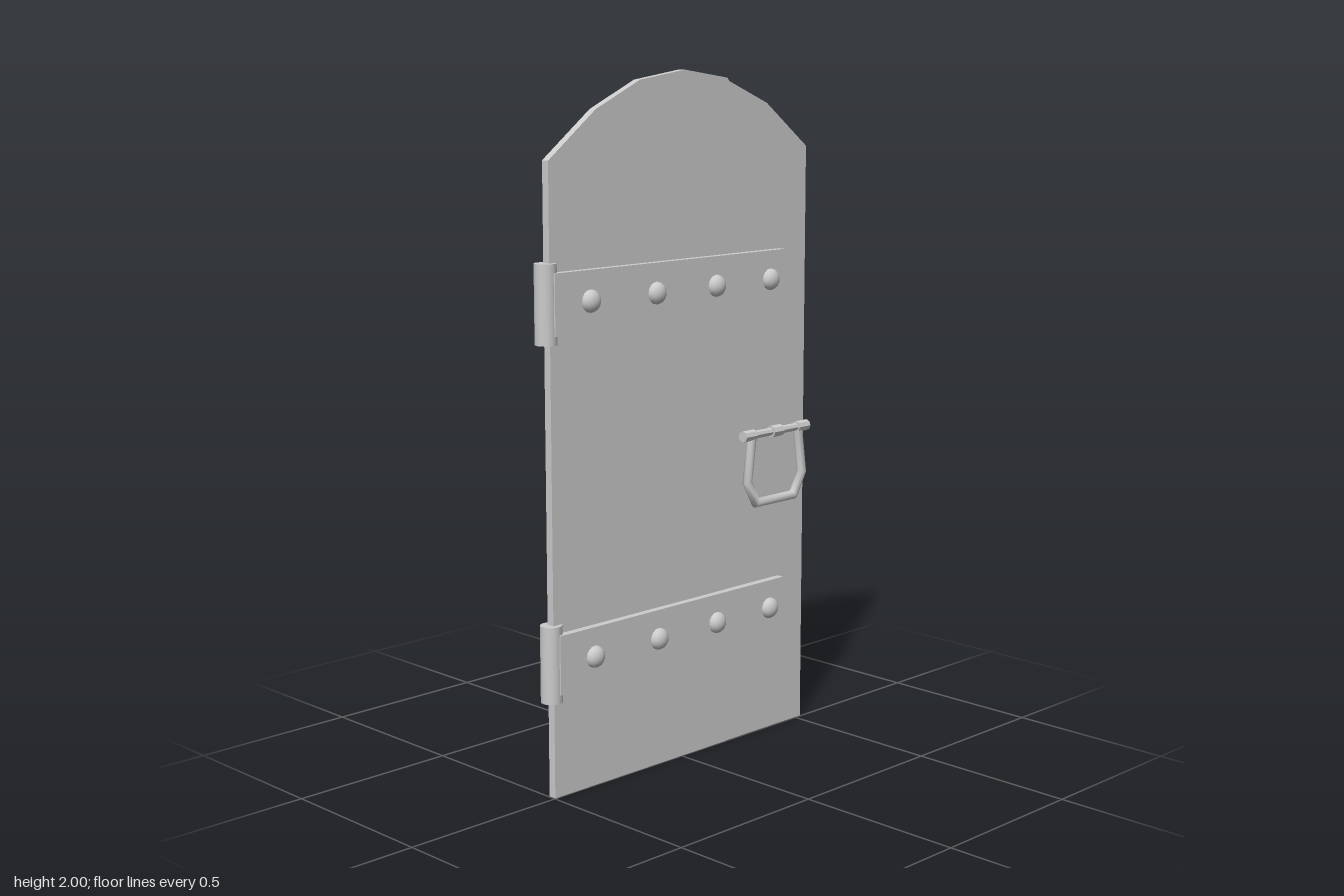
import * as THREE from 'three';

const grey = new THREE.MeshStandardMaterial({ color: 0xcccccc });
const greyFlat = new THREE.MeshStandardMaterial({ color: 0xcccccc, flatShading: true });

function add(parent, name, geometry, material = greyFlat) {
  const mesh = new THREE.Mesh(geometry, material);
  mesh.name = name;
  parent.add(mesh);
  return mesh;
}

// Flat plate from an outline, between two depths
function plate(points, back, front) {
  const shape = new THREE.Shape(points.map(([x, y]) => new THREE.Vector2(x, y)));
  const geometry = new THREE.ExtrudeGeometry(shape, { depth: front - back, bevelEnabled: false });
  return geometry.translate(0, 0, back);
}

// Round rod swept along a flat path, mitred at each corner
function mitredRod(path, radius, sides) {
  const pts = path.map(([x, y]) => new THREE.Vector2(x, y));
  const positions = [], index = [];
  pts.forEach((p, i) => {
    const a = pts[Math.max(i - 1, 0)], b = pts[Math.min(i + 1, pts.length - 1)];
    const before = (i ? p.clone().sub(a) : b.clone().sub(p)).normalize();
    const after = (i < pts.length - 1 ? b.clone().sub(p) : p.clone().sub(a)).normalize();
    const tangent = before.clone().add(after).normalize();
    const normal = new THREE.Vector2(-tangent.y, tangent.x);
    const stretch = 1 / tangent.dot(before);
    for (let s = 0; s < sides; s++) {
      const t = (s / sides) * Math.PI * 2;
      const r = Math.cos(t) * radius * stretch;
      positions.push(p.x + normal.x * r, p.y + normal.y * r, Math.sin(t) * radius);
      if (i) {
        const n = (s + 1) % sides, o = (i - 1) * sides;
        index.push(o + s, o + n, o + sides + s, o + n, o + sides + n, o + sides + s);
      }
    }
  });
  const geometry = new THREE.BufferGeometry();
  geometry.setAttribute('position', new THREE.Float32BufferAttribute(positions, 3));
  geometry.setIndex(index);
  geometry.computeVertexNormals();
  return geometry;
}

function strapHinge(name, x, y) {
  const hinge = new THREE.Group();
  hinge.name = name;
  hinge.position.set(x, y, 0);

  // Long strap with clipped end
  add(hinge, 'strap', plate([
    [-0.495, -0.085], [0.41, -0.085], [0.434, -0.04],
    [0.434, 0.04], [0.41, 0.085], [-0.495, 0.085],
  ], -0.004, 0.021));

  // Pivot barrel
  const barrel = add(hinge, 'hingeBarrel', new THREE.CylinderGeometry(0.031, 0.031, 0.22, 20), grey);
  barrel.position.set(-0.498, 0, -0.014);

  // Domed rivets
  for (const rx of [-0.367, -0.118, 0.121, 0.348]) {
    const dome = new THREE.SphereGeometry(0.032, 16, 6, 0, Math.PI * 2, 0, Math.PI / 2);
    dome.rotateX(Math.PI / 2).scale(1, 1, 0.75);
    add(hinge, 'rivet', dome, grey).position.set(rx, 0, 0.021);
  }
  return hinge;
}

function pullHandle() {
  const handle = new THREE.Group();
  handle.name = 'pullHandle';
  handle.position.set(0.376, 0.93, 0.018);

  // Cross bar with end and middle collars
  const rod = (name, x, length, radius) => {
    const geometry = new THREE.CylinderGeometry(radius, radius, length, 8);
    geometry.rotateZ(Math.PI / 2);
    add(handle, name, geometry).position.x = x;
  };
  rod('crossBar', 0, 0.27, 0.012);
  for (const x of [-0.116, 0.116]) rod('endCollar', x, 0.048, 0.017);
  rod('middleCollar', 0.002, 0.042, 0.018);

  // Angular drop ring
  add(handle, 'dropRing', mitredRod([
    [-0.1, 0], [-0.12, -0.14], [-0.082, -0.208],
    [0.082, -0.208], [0.12, -0.14], [0.1, 0],
  ], 0.014, 8), grey);
  return handle;
}

export function createModel() {
  const door = new THREE.Group();
  door.name = 'archedDoor';

  // Two boards under a faceted arch, meeting at a shallow step
  const seam = 0.19, seamTop = 1.967;
  add(door, 'wideBoard', plate([
    [-0.497, 0], [seam, 0], [seam, seamTop], [0.185, 1.975],
    [0.013, 2], [-0.16, 1.975], [-0.325, 1.9], [-0.497, 1.77],
  ], -0.025, -0.001));
  add(door, 'narrowBoard', plate([
    [seam, 0], [0.524, 0], [0.524, 1.77], [0.352, 1.9], [seam, seamTop],
  ], -0.025, -0.003));

  door.add(strapHinge('upperHinge', -0.002, 1.388));
  door.add(strapHinge('lowerHinge', 0.004, 0.388));
  door.add(pullHandle());
  return door;
}
